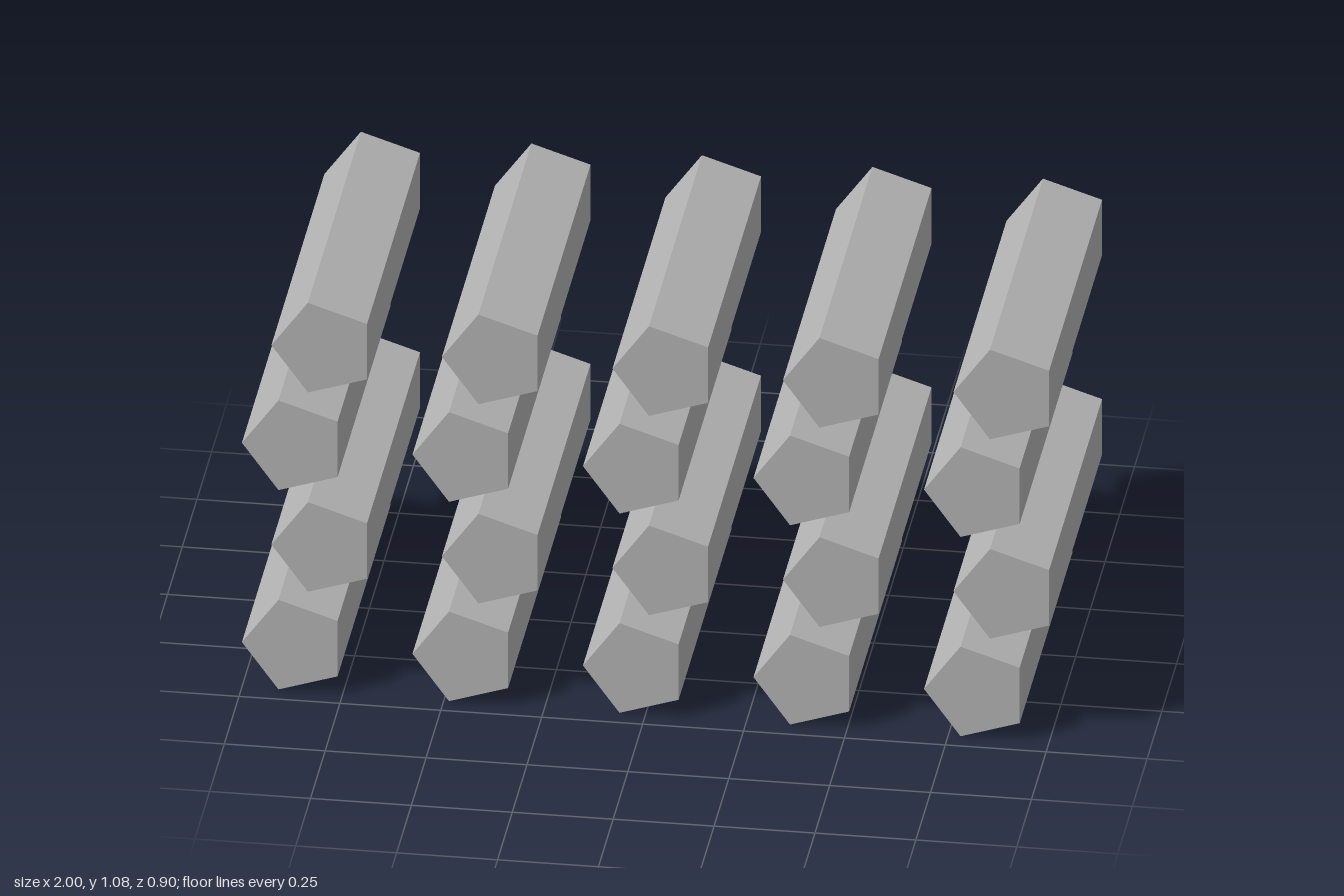
import * as THREE from 'three';

const RADIUS = 0.131, LENGTH = 0.9;
const COLUMNS = 5, ROWS = 4;
const COLUMN_STEP = 0.4225, ROW_STEP = 0.277, ROW_SHIFT = 0.073;

export function createModel() {
  const model = new THREE.Group();
  model.name = 'barStack';

  const grey = new THREE.MeshStandardMaterial({ color: 0xb4b4b4, flatShading: true });
  grey.name = 'plain grey';

  // Five-sided bar lying along z, one corner pointing to -x
  const bar = new THREE.CylinderGeometry(RADIUS, RADIUS, LENGTH, 5, 1, false, -Math.PI / 2);
  bar.rotateX(Math.PI / 2);

  // Rows of bars, every second row shifted sideways
  const baseY = RADIUS * Math.sin(Math.PI * 0.4);
  for (let row = 0; row < ROWS; row++) {
    const layer = new THREE.Group();
    layer.name = `barRow${row + 1}`;
    layer.position.set((row % 2) * ROW_SHIFT, baseY + row * ROW_STEP, 0);
    for (let column = 0; column < COLUMNS; column++) {
      const mesh = new THREE.Mesh(bar, grey);
      mesh.name = `bar${column + 1}`;
      mesh.position.x = -1 + RADIUS + column * COLUMN_STEP;
      layer.add(mesh);
    }
    model.add(layer);
  }
  return model;
}
